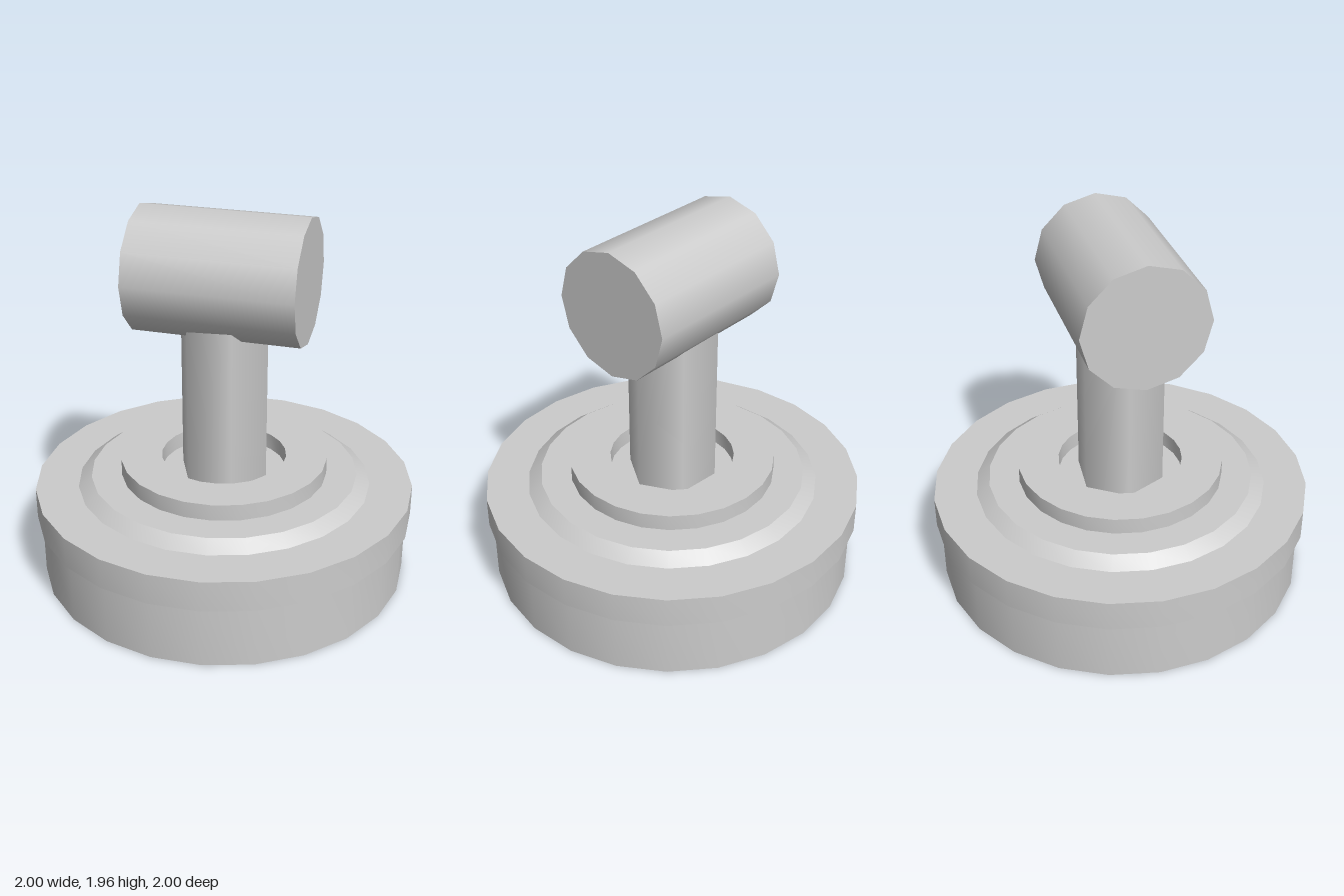
import * as THREE from 'three';
import { toCreasedNormals } from 'three/addons/utils/BufferGeometryUtils.js';

export function createModel() {
  const model = new THREE.Group();
  const grey = new THREE.MeshStandardMaterial({ color: 0xcccccc });
  grey.name = 'light grey';

  const add = (name, geometry) => {
    const mesh = new THREE.Mesh(geometry, grey);
    mesh.name = name;
    model.add(mesh);
    return mesh;
  };

  // Round part from an [radius, height] profile, smooth around and sharp at the steps
  const turned = (name, profile) => {
    const points = profile.map(([r, y]) => new THREE.Vector2(r, y));
    return add(name, toCreasedNormals(new THREE.LatheGeometry(points, 24), 0.45));
  };

  // Base drum with its overhanging rim and bevelled step
  turned('base', [
    [0, 0], [0.975, 0], [0.975, 0.33], [1, 0.33], [1, 0.493],
    [0.775, 0.493], [0.705, 0.545], [0, 0.545],
  ]);

  // Raised ring around the post
  turned('collar', [[0.545, 0.545], [0.545, 0.632], [0.33, 0.632], [0.33, 0.545]]);

  // Six-sided, smooth shaded post with corners on the x axis
  const post = add('post', new THREE.CylinderGeometry(0.237, 0.237, 1.0, 6));
  post.rotation.y = Math.PI / 2;
  post.position.y = 1.03;

  // Horizontal handle, turned about the post
  const handle = add('handle', new THREE.CylinderGeometry(0.325, 0.325, 0.868, 12).rotateX(Math.PI / 2));
  handle.rotation.y = THREE.MathUtils.degToRad(35);
  handle.position.y = 1.635;

  return model;
}
